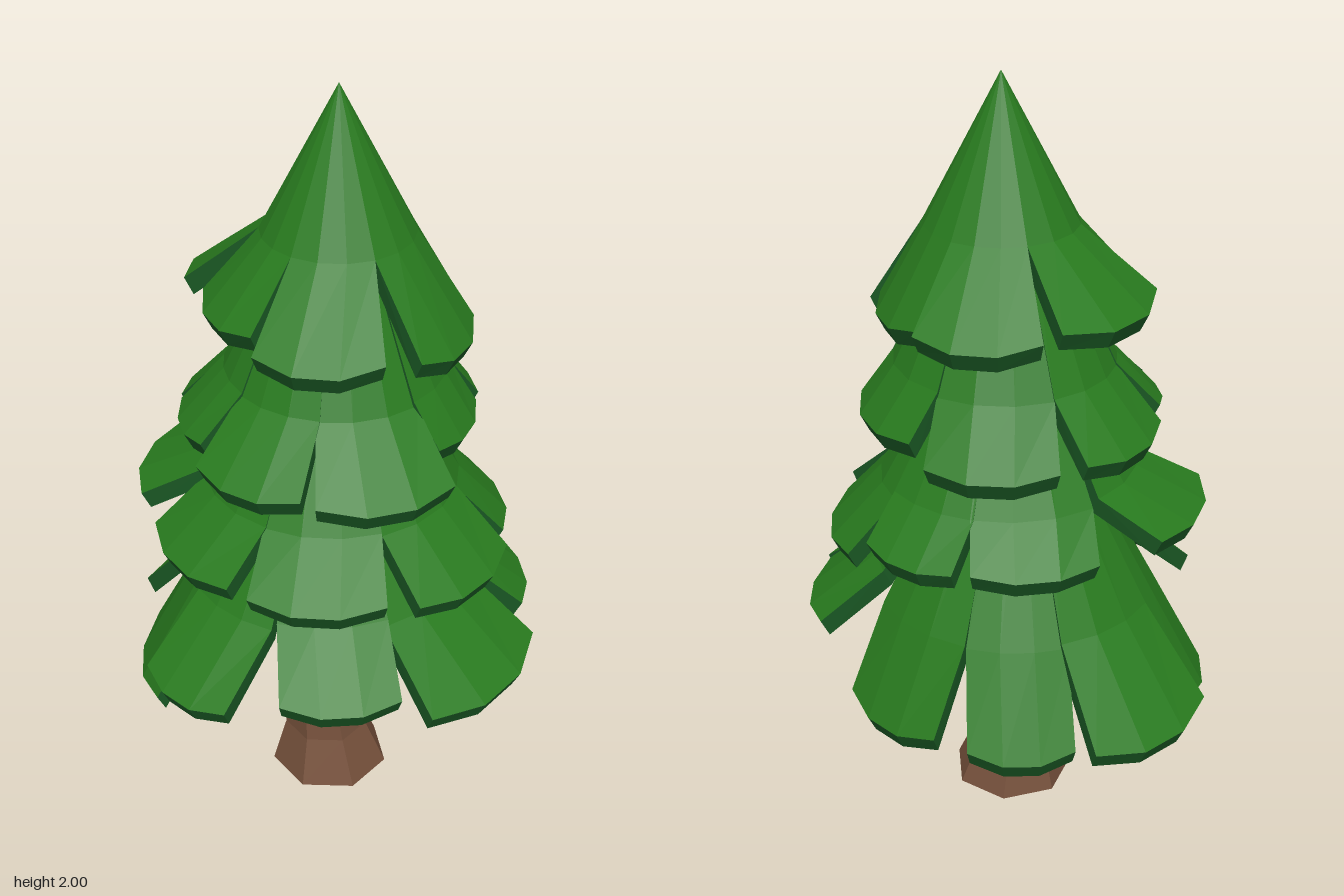
import * as THREE from 'three';

const leaf = new THREE.MeshStandardMaterial({ color: 0x287a1e });
leaf.name = 'leafGreen';
const under = new THREE.MeshStandardMaterial({ color: 0x1a5824 });
under.name = 'undersideGreen';
const bark = new THREE.MeshStandardMaterial({ color: 0x75503b });
bark.name = 'barkBrown';

// Tiers: axis [x, z], root [r, y], knee [r, y], how far the knee follows a low tip,
// and boughs as [start angle, end angle, tip radius, tip height], angles from +x towards +z.
// A closed tier has no gaps between its boughs above the knee.
const topTier = { name: 'topTier', closed: true, axis: [0.04, -0.02], root: [0, 2], knee: [0.19, 1.64], tipY: 1.46, follow: 0,
  boughs: [
    [28, 78, 0.345, 1.4], [97, 146, 0.39, 1.45], [152, 202, 0.34, 1.47],
    [208, 266, 0.395, 1.48], [272, 322, 0.375, 1.45], [328, 384, 0.31, 1.43],
  ] };
const upperTier = { name: 'upperTier', closed: false, axis: [0.03, -0.01], root: [0.08, 1.72], knee: [0.28, 1.28], tipY: 1.13, follow: 0.3,
  boughs: [
    [26, 69, 0.36, 1.17], [73, 120, 0.45, 1.12], [125, 166, 0.44, 1.13], [171, 205, 0.4, 1.16],
    [212, 258, 0.41, 1.14], [267, 318, 0.385, 1.12], [326, 380, 0.37, 1.17],
  ] };
const middleTier = { name: 'middleTier', closed: false, axis: [0.02, -0.01], root: [0.1, 1.38], knee: [0.33, 0.98], tipY: 0.85, follow: 0.4,
  boughs: [
    [44, 87, 0.49, 0.83], [97, 140, 0.48, 0.85], [147, 190, 0.48, 0.86], [195, 239, 0.51, 0.93],
    [256, 300, 0.43, 0.88], [306, 342, 0.44, 0.88], [350, 395, 0.465, 0.82],
  ] };
const lowerTier = { name: 'lowerTier', closed: false, axis: [0, -0.01], root: [0.12, 1.1], knee: [0.37, 0.73], tipY: 0.57, follow: 0.5,
  boughs: [
    [41, 86, 0.595, 0.55], [92, 126, 0.535, 0.59], [141, 171, 0.56, 0.54], [178, 221, 0.51, 0.35],
    [227, 267, 0.575, 0.42], [270, 302, 0.5, 0.39], [313, 351, 0.49, 0.4], [359, 394, 0.55, 0.59],
  ] };

// A bent slab: wide at the root, narrowing to a tip with clipped corners
function boughGeometry(tier, [a0, a1, tipR, tipY], rootStart, rootEnd) {
  const [rootR, rootY] = tier.root;
  const kneeR = tier.knee[0];
  const kneeY = tier.knee[1] + tier.follow * (tipY - tier.tipY);
  const { lerp, degToRad } = THREE.MathUtils;
  const rows = [[rootR, rootY, 0], [kneeR, kneeY, tier.closed ? 0 : 0.42], [tipR, tipY, 1]];
  const sheet = (dr, dy) => rows.map(([r, y, cut], row) => [0, 1, 2, 3].map((i) => {
    const a = degToRad(lerp(lerp(rootStart, a0, cut), lerp(rootEnd, a1, cut), i / 3));
    const t = row === 2 && (i === 0 || i === 3) ? 0.91 : 1;
    const rr = Math.max(0, lerp(kneeR, r, t) - dr);
    return [tier.axis[0] + rr * Math.cos(a), lerp(kneeY, y, t) - dy, tier.axis[1] + rr * Math.sin(a)];
  }));
  const top = sheet(0, 0);
  const low = sheet(0.022, 0.045);
  const pos = [];
  const quad = (a, b, c, d) => pos.push(...a, ...b, ...c, ...a, ...c, ...d);

  for (let j = 0; j < 2; j++) {
    for (let i = 0; i < 3; i++) quad(top[j][i], top[j][i + 1], top[j + 1][i + 1], top[j + 1][i]);
  }
  const topCount = pos.length / 3;
  for (let j = 0; j < 2; j++) {
    for (let i = 0; i < 3; i++) quad(low[j][i], low[j + 1][i], low[j + 1][i + 1], low[j][i + 1]);
    if (j === 0 && tier.closed) continue;
    quad(top[j][0], top[j + 1][0], low[j + 1][0], low[j][0]);
    quad(top[j][3], low[j][3], low[j + 1][3], top[j + 1][3]);
  }
  for (let i = 0; i < 3; i++) quad(top[2][i], top[2][i + 1], low[2][i + 1], low[2][i]);

  const geo = new THREE.BufferGeometry();
  geo.setAttribute('position', new THREE.Float32BufferAttribute(pos, 3));
  geo.computeVertexNormals();
  geo.addGroup(0, topCount, 0);
  geo.addGroup(topCount, pos.length / 3 - topCount, 1);
  return geo;
}

function buildTier(tier) {
  const group = new THREE.Group();
  group.name = tier.name;
  const n = tier.boughs.length;
  const overlap = tier.closed ? 0 : 3.5;
  tier.boughs.forEach((b, i) => {
    // Neighbouring boughs meet or overlap at the root, halfway across the gap
    const prevEnd = i ? tier.boughs[i - 1][1] : tier.boughs[n - 1][1] - 360;
    const nextStart = i < n - 1 ? tier.boughs[i + 1][0] : tier.boughs[0][0] + 360;
    const start = (prevEnd + b[0]) / 2 - overlap;
    const end = (b[1] + nextStart) / 2 + overlap;
    const mesh = new THREE.Mesh(boughGeometry(tier, b, start, end), [leaf, under]);
    mesh.name = 'bough';
    group.add(mesh);
  });
  return group;
}

// Seven-sided trunk with a flared, slightly leaning profile
function buildTrunk() {
  const rings = [ // y, radius, centre x, centre z
    [0.95, 0.045, 0.01, -0.01], [0.58, 0.068, -0.017, -0.005], [0.32, 0.085, -0.02, 0],
    [0.13, 0.115, -0.003, 0.005], [0, 0.163, 0.005, 0.012],
  ];
  const geo = new THREE.CylinderGeometry(1, 1, 1, 7, 4).toNonIndexed();
  const p = geo.attributes.position;
  for (let i = 0; i < p.count; i++) {
    const [y, r, cx, cz] = rings[Math.round((0.5 - p.getY(i)) * 4)];
    p.setXYZ(i, cx + p.getX(i) * r, y, cz + p.getZ(i) * r);
  }
  geo.computeVertexNormals();
  const trunk = new THREE.Mesh(geo, bark);
  trunk.name = 'trunk';
  return trunk;
}

export function createModel() {
  const tree = new THREE.Group();
  tree.name = 'pineTree';
  tree.add(buildTrunk());
  for (const tier of [topTier, upperTier, middleTier, lowerTier]) tree.add(buildTier(tier));
  return tree;
}
